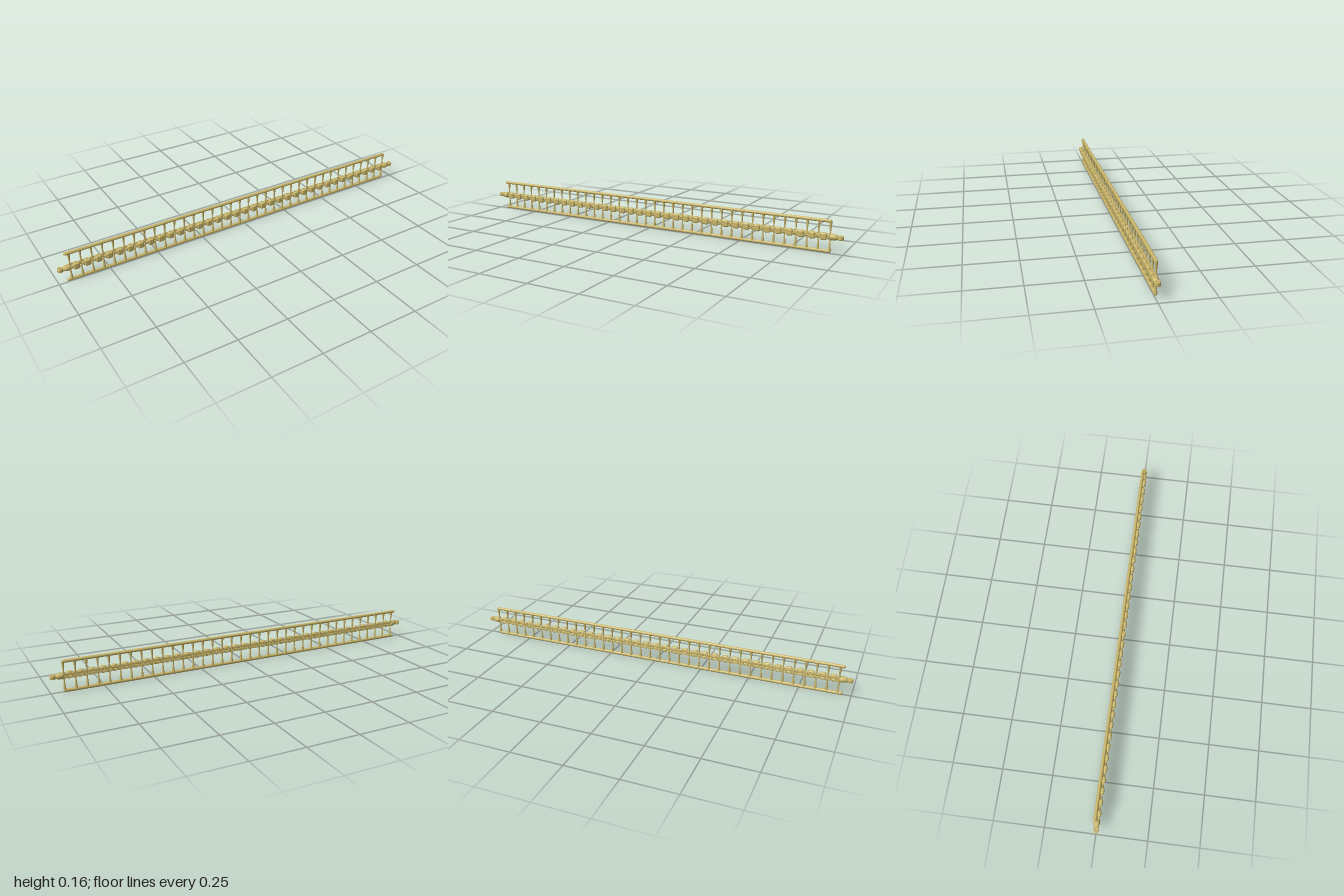
import * as THREE from 'three';
import { RoundedBoxGeometry } from 'three/addons/geometries/RoundedBoxGeometry.js';

const material = new THREE.MeshStandardMaterial({ color: 0xc9b568, side: THREE.DoubleSide });
const COUNT = 36, PITCH = 0.0535, MID = 0.079, RAIL_Z = -0.006;

function add(parent, name, geometry, x = 0, y = 0, z = 0) {
  const mesh = new THREE.Mesh(geometry, material);
  mesh.name = name;
  mesh.position.set(x, y, z);
  parent.add(mesh);
  return mesh;
}

// Straight round strand between two points
function strand(a, b, radius) {
  const path = new THREE.LineCurve3(new THREE.Vector3(...a), new THREE.Vector3(...b));
  return new THREE.TubeGeometry(path, 1, radius, 8);
}

export function createModel() {
  const group = new THREE.Group();
  group.name = 'ladderBracelet';

  // Outer rails with rounded ends
  for (const side of [-1, 1]) {
    const rail = add(group, side > 0 ? 'upperRail' : 'lowerRail',
      new THREE.CapsuleGeometry(0.0078, 1.885, 5, 14), -0.009, MID + side * 0.0712, RAIL_Z);
    rail.rotation.z = Math.PI / 2;
  }

  // Shared shapes: flared rung, link saddle, crossing strands and ring
  const rungGeometry = new THREE.LatheGeometry([
    [0.0042, 0], [0.0032, 0.014], [0.0033, 0.024], [0.0045, 0.042], [0.0062, 0.058], [0.0074, 0.07],
  ].map(([r, y]) => new THREE.Vector2(r, y)), 12);
  const saddleGeometry = new RoundedBoxGeometry(0.03, 0.034, 0.017, 3, 0.007);
  const crossGeometries = [-1, 1].map((s) =>
    strand([-0.018, -0.012 * s, 0.006], [0.018, 0.012 * s, 0.006], 0.0042));
  const ringGeometry = new THREE.TorusGeometry(0.0125, 0.0035, 8, 16);
  ringGeometry.scale(1.25, 1, 1);

  for (let i = 0; i < COUNT; i++) {
    const x = (i - (COUNT - 1) / 2) * PITCH;
    // Rungs, thick at the rails and slim at the chain
    for (const side of [-1, 1]) {
      const rung = add(group, 'rung', rungGeometry, x, MID, RAIL_Z);
      if (side < 0) rung.rotation.x = Math.PI;
    }
    // Crossed strands and back ring at each rung
    crossGeometries.forEach((g) => add(group, 'crossStrand', g, x, MID, 0));
    add(group, 'backRing', ringGeometry, x, MID, -0.006);
    // Rounded saddle and second ring between rungs
    if (i < COUNT - 1) {
      add(group, 'linkSaddle', saddleGeometry, x + PITCH / 2, MID, 0.0075);
      add(group, 'backRing', ringGeometry, x + PITCH / 2, MID, -0.006);
    }
  }

  // Two cords hold the chain together along the back
  for (const s of [-1, 1]) {
    add(group, 'backCord', strand([-0.94, MID + s * 0.006, -0.005], [0.94, MID + s * 0.006, -0.005], 0.0045));
  }

  // End fittings: tapered neck and an eye with a vertical hole
  const eye = new THREE.Shape().absarc(0, 0, 0.011, 0, Math.PI * 2);
  eye.holes.push(new THREE.Path().absarc(0, 0, 0.007, 0, Math.PI * 2, true));
  const eyeGeometry = new THREE.ExtrudeGeometry(eye, {
    depth: 0.013, bevelEnabled: true, bevelSize: 0.003, bevelThickness: 0.003, bevelSegments: 3, curveSegments: 14,
  });
  eyeGeometry.translate(0, 0, -0.0065);
  eyeGeometry.rotateX(Math.PI / 2);
  const neckGeometry = new THREE.LatheGeometry([
    [0, 0], [0.013, 0], [0.0155, 0.006], [0.0145, 0.022], [0.0105, 0.037], [0, 0.037],
  ].map(([r, y]) => new THREE.Vector2(r, y)), 16);
  neckGeometry.rotateZ(-Math.PI / 2);
  for (const side of [-1, 1]) {
    const fitting = new THREE.Group();
    fitting.name = side > 0 ? 'leftEndFitting' : 'rightEndFitting';
    fitting.position.set(0, MID, 0.001);
    if (side < 0) fitting.rotation.y = Math.PI;
    add(fitting, 'neck', neckGeometry, 0.937);
    add(fitting, 'eye', eyeGeometry, 0.986);
    group.add(fitting);
  }
  return group;
}
